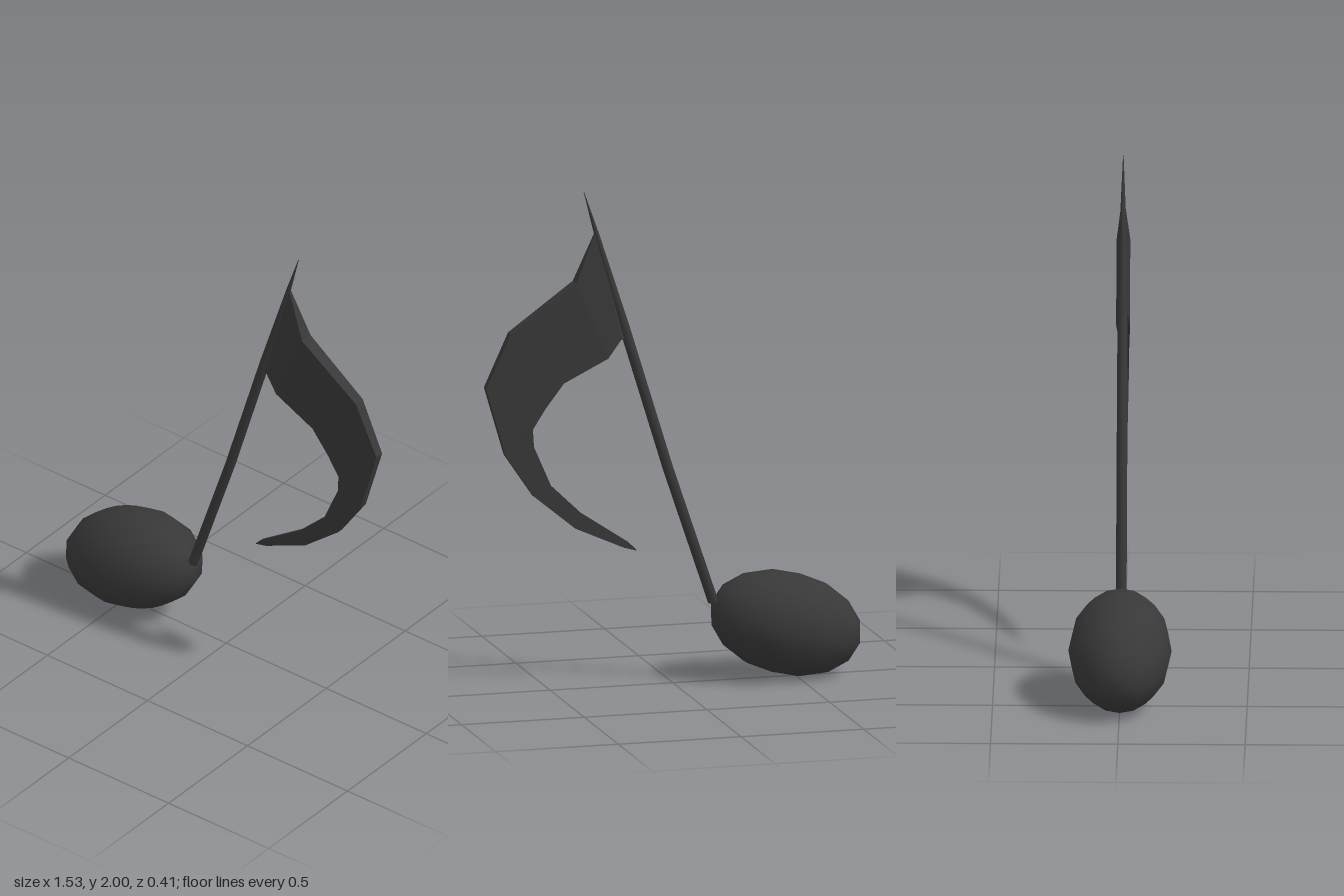
import * as THREE from 'three';

// Joins equal-sized rings of points into a closed skin with end caps
function loft(rings) {
  const n = rings[0].length, last = (rings.length - 1) * n, index = [];
  for (let s = 0; s < rings.length - 1; s++) {
    for (let j = 0; j < n; j++) {
      const a = s * n + j, b = s * n + (j + 1) % n;
      index.push(a, a + n, b + n, a, b + n, b);
    }
  }
  for (let j = 1; j < n - 1; j++) {
    index.push(0, j, j + 1, last, last + j + 1, last + j);
  }
  const geometry = new THREE.BufferGeometry();
  geometry.setAttribute('position', new THREE.Float32BufferAttribute(rings.flat(2), 3));
  geometry.setIndex(index);
  geometry.computeVertexNormals();
  return geometry;
}

export function createModel() {
  const group = new THREE.Group();
  const charcoal = new THREE.MeshStandardMaterial({ color: 0x383838 });
  charcoal.name = 'charcoal';

  const add = (name, geometry) => {
    const mesh = new THREE.Mesh(geometry, charcoal);
    mesh.name = name;
    group.add(mesh);
    return mesh;
  };

  // Note head: a tilted ellipsoid
  const head = add('noteHead', new THREE.SphereGeometry(1, 16, 8));
  head.scale.set(0.317, 0.203, 0.203);
  head.rotation.z = 0.29;
  head.position.set(-0.46, 0.218, 0);

  // Stem: slightly bowed, tapering to a point; x, y, half width, half depth
  const stem = [
    [-0.165, 0.32, 0.021, 0.021],
    [0.02, 0.87, 0.021, 0.021],
    [0.195, 1.44, 0.021, 0.02],
    [0.311, 1.83, 0.01, 0.009],
    [0.362, 2.0, 0.001, 0.001],
  ];
  add('stem', loft(stem.map(([x, y, w, d]) =>
    Array.from({ length: 8 }, (_, i) => {
      const a = (i / 8) * Math.PI * 2, c = Math.cos(a) * w;
      return [x + c * 0.953, y - c * 0.303, Math.sin(a) * d];
    }))));

  // Flag: outer x, y, inner x, y, outer and inner half thickness
  const flag = [
    [0.305, 1.83, 0.2, 1.4, 0.004, 0.012],
    [0.32, 1.83, 0.215, 1.4, 0.005, 0.018],
    [0.4, 1.64, 0.27, 1.33, 0.027, 0.027],
    [0.665, 1.45, 0.45, 1.24, 0.022, 0.024],
    [0.765, 1.235, 0.525, 1.14, 0.018, 0.02],
    [0.726, 1.1, 0.575, 1.06, 0.017, 0.018],
    [0.685, 0.96, 0.57, 0.99, 0.016, 0.016],
    [0.57, 0.79, 0.5, 0.83, 0.013, 0.013],
    [0.4, 0.65, 0.375, 0.71, 0.01, 0.01],
    [0.2, 0.56, 0.18, 0.58, 0.005, 0.005],
    [0.15, 0.545, 0.148, 0.547, 0.001, 0.001],
  ];
  const flagGeometry = loft(flag.map(([ox, oy, ix, iy, ot, it]) =>
    [[ox, oy, ot], [ox, oy, -ot], [ix, iy, -it], [ix, iy, it]])).toNonIndexed();
  flagGeometry.computeVertexNormals();
  add('flag', flagGeometry);

  return group;
}
